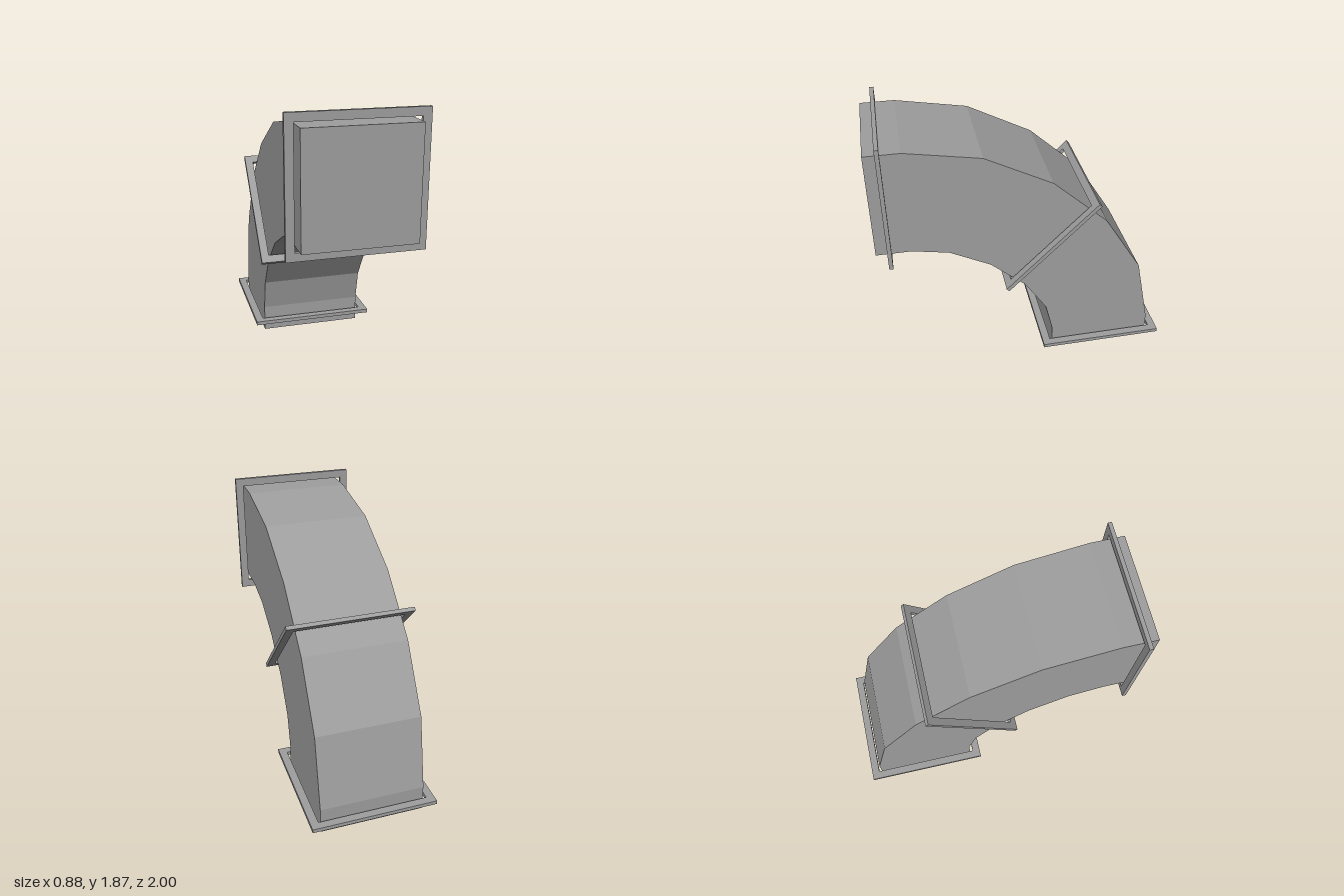
import * as THREE from 'three';

const WIDTH = 0.73;

export function createModel() {
  const group = new THREE.Group();
  const material = new THREE.MeshStandardMaterial({ color: 0x9e9e9e, flatShading: true });

  // Extrude a shape centred on its own depth axis
  const extrude = (shape, depth) =>
    new THREE.ExtrudeGeometry(shape, { depth, bevelEnabled: false }).translate(0, 0, -depth / 2);

  const addMesh = (name, geometry) => {
    const mesh = new THREE.Mesh(geometry, material);
    mesh.name = name;
    group.add(mesh);
    return mesh;
  };

  // Square duct elbow: side profile as [z, y], outer bend then inner bend
  const outer = [[1, 1.79], [0.77, 1.79], [0.28, 1.7], [-0.17, 1.465],
    [-0.55, 1.12], [-0.82, 0.69], [-0.928, 0.185], [-0.928, 0]];
  const inner = [[-0.198, 0], [-0.198, 0.185], [-0.145, 0.41], [0.01, 0.65],
    [0.25, 0.865], [0.525, 1.01], [0.77, 1.058], [1, 1.058]];
  const profile = new THREE.Shape([...outer, ...inner].map(([z, y]) => new THREE.Vector2(-z, y)));
  addMesh('ductElbow', extrude(profile, WIDTH).rotateY(Math.PI / 2));

  // Square flange frames standing slightly clear of the duct
  const square = (Type, half) => new Type([[-1, -1], [1, -1], [1, 1], [-1, 1]]
    .map(([x, y]) => new THREE.Vector2(x * half, y * half)));
  const frame = square(THREE.Shape, 0.439);
  frame.holes.push(square(THREE.Path, 0.384));
  const frameGeometry = extrude(frame, 0.027);

  const frames = [
    ['frontFlange', 1.426, 0.91, 0],
    ['middleFlange', 0.992, -0.164, -Math.PI / 4],
    ['bottomFlange', 0.09, -0.561, -Math.PI / 2],
  ];
  for (const [name, y, z, angle] of frames) {
    const flange = addMesh(name, frameGeometry);
    flange.position.set(0, y, z);
    flange.rotation.x = angle;
  }

  return group;
}
